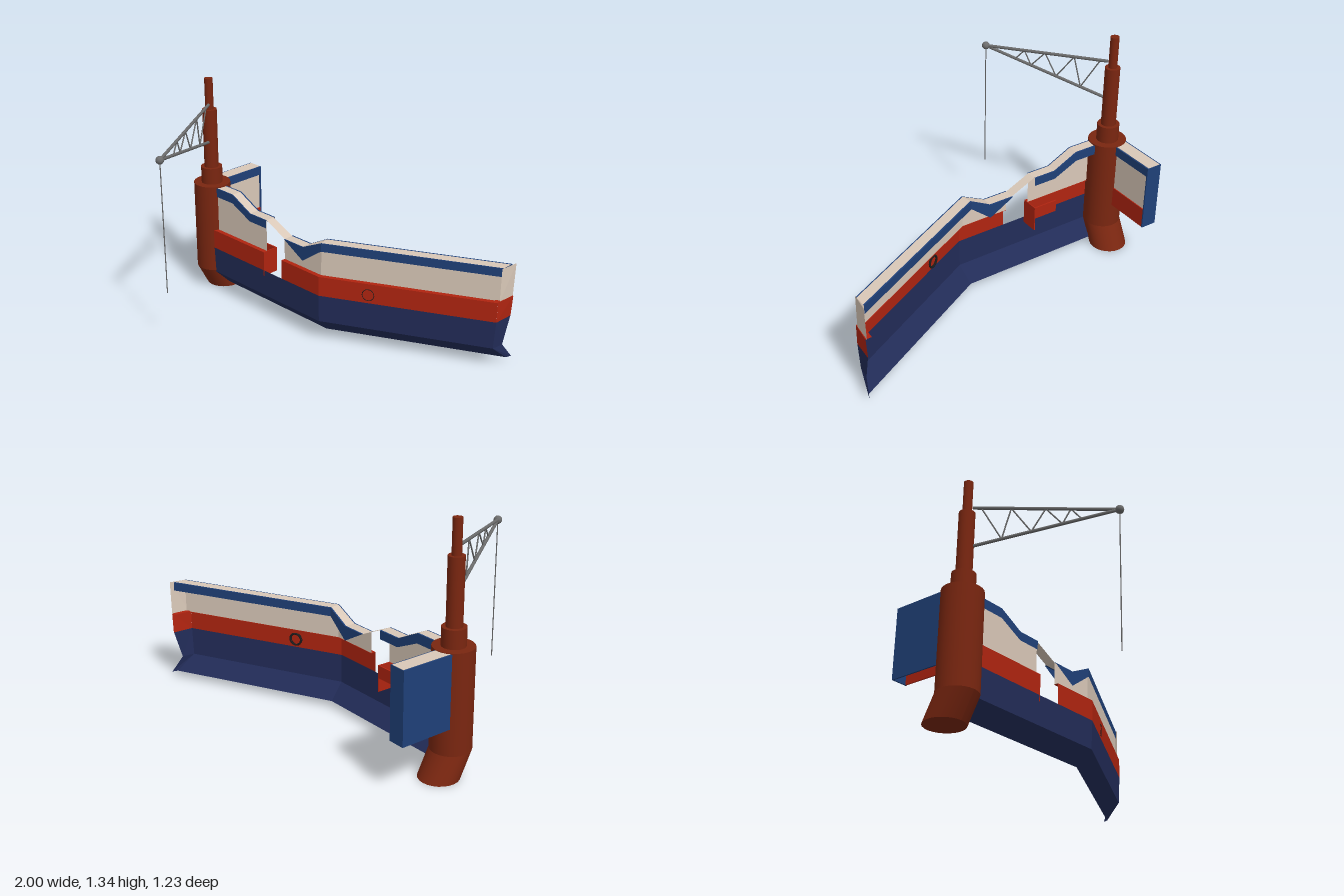
import * as THREE from 'three';

const mat = (name, color) => {
  const m = new THREE.MeshStandardMaterial({ color, side: THREE.DoubleSide });
  m.name = name;
  return m;
};

export function createModel() {
  const root = new THREE.Group();
  const rust = mat('rust brown', 0x7a2610);
  const red = mat('red', 0xb02410);
  const navy = mat('navy', 0x222c58);
  const blue = mat('trim blue', 0x1f4078);
  const cream = mat('cream', 0xd9c8b8);
  const grey = mat('steel grey', 0x6c6c6c);
  const dark = mat('dark', 0x1c1c1c);
  const V = (x, y, z) => new THREE.Vector3(x, y, z);

  const add = (name, geo, m, parent = root) => {
    const mesh = new THREE.Mesh(geo, m);
    mesh.name = name;
    parent.add(mesh);
    return mesh;
  };

  // Flat-faceted sheet through rows of points
  const sheet = (name, rows, m) => {
    const p = [];
    for (let r = 0; r < rows.length - 1; r++) {
      for (let i = 0; i < rows[r].length - 1; i++) {
        const a = rows[r][i], b = rows[r][i + 1], c = rows[r + 1][i + 1], d = rows[r + 1][i];
        for (const v of [a, b, c, a, c, d]) p.push(v.x, v.y, v.z);
      }
    }
    const g = new THREE.BufferGeometry();
    g.setAttribute('position', new THREE.Float32BufferAttribute(p, 3));
    g.computeVertexNormals();
    return add(name, g, m);
  };

  const box = (name, x0, x1, y0, y1, z0, z1, m) =>
    add(name, new THREE.BoxGeometry(x1 - x0, y1 - y0, z1 - z0), m)
      .position.set((x0 + x1) / 2, (y0 + y1) / 2, (z0 + z1) / 2);

  const rod = (name, a, b, r, parent) => {
    const mesh = add(name, new THREE.CylinderGeometry(r, r, a.distanceTo(b), 8), grey, parent);
    mesh.position.lerpVectors(a, b, 0.5);
    mesh.quaternion.setFromUnitVectors(V(0, 1, 0), b.clone().sub(a).normalize());
  };

  // Wall plan: straight run, then angled back after the bend; t is the inward offset
  const BEND = 0.09, SLOPE = 0.511;
  const at = (x, y, t) => {
    const bx = BEND - 0.239 * t;
    if (x === BEND) x = bx;
    return V(x, y, -0.02 - t - Math.max(0, x - bx) * SLOPE);
  };
  const row = (xs, ys, t) => xs.map((x, i) => at(x, Array.isArray(ys) ? ys[i] : ys, t));

  // Lower hull, turned around the aft corner
  sheet('lowerHull', [
    [...row([-0.85, BEND, 0.98], 0.295, 0), V(0.985, 0.295, -0.596)],
    [...row([-0.85, BEND, 0.97], 0.13, 0.005), V(0.978, 0.13, -0.55)],
    [...row([-0.87, BEND, 0.99], 0.04, 0.09), V(1, 0.04, -0.614)],
  ], navy);

  // Upper walls on both sides of the gangway gap
  const sections = [
    { name: 'forward', xs: [-0.85, -0.65, -0.5, -0.36], top: [0.685, 0.685, 0.61, 0.61], low: [0.63, 0.63, 0.56, 0.56] },
    { name: 'aft', xs: [-0.21, -0.06, BEND, 0.98], top: [0.54, 0.54, 0.61, 0.61], low: [0.54, 0.455, 0.56, 0.56] },
  ];
  for (const { name, xs, top, low } of sections) {
    sheet(name + 'RedBand', [row(xs, 0.295, 0), row(xs, 0.413, 0), row(xs, 0.413, 0.03)], red);
    sheet(name + 'Bulwark', [row(xs, 0.413, 0.027), row(xs, low, 0.027), row(xs, top, 0.027)], cream);
    sheet(name + 'OuterTrim', [row(xs, low, 0.021), row(xs, top, 0.021), row(xs, top, 0.027)], blue);
    sheet(name + 'InnerTrim', [row(xs, top, 0.085), row(xs, top, 0.094), row(xs, low, 0.094)], blue);
  }

  // Rail cap, continuous over the gap
  const capX = sections.flatMap(s => s.xs), capY = sections.flatMap(s => s.top);
  sheet('railCap', [row(capX, capY, 0.027), row(capX, capY, 0.085)], cream);

  // Aft return
  sheet('aftReturnRed', [
    [V(0.98, 0.295, -0.475), V(0.985, 0.295, -0.597)],
    [V(0.98, 0.417, -0.475), V(0.992, 0.417, -0.597)],
    [V(0.952, 0.417, -0.475), V(0.957, 0.417, -0.597)],
  ], red);
  sheet('aftReturnBulwark', [
    [V(0.98, 0.413, -0.49), V(0.986, 0.413, -0.6)],
    [V(0.98, 0.61, -0.49), V(0.992, 0.612, -0.6)],
  ], cream);

  // Gangway return panels
  box('gangwayEndPanel', -0.364, -0.358, 0.26, 0.413, -0.124, -0.02, red);
  box('gangwayInnerPanel', -0.51, -0.358, 0.34, 0.413, -0.124, -0.116, red);

  // Bow wall behind the column
  box('bowOuterPanel', -0.965, -0.957, 0.29, 0.688, -0.475, -0.1, blue);
  box('bowEndPanel', -0.965, -0.87, 0.29, 0.688, -0.475, -0.467, blue);
  box('bowInnerTrim', -0.878, -0.87, 0.635, 0.688, -0.475, -0.1, blue);
  box('bowInnerBulwark', -0.884, -0.878, 0.41, 0.64, -0.466, -0.1, cream);
  box('bowInnerRedBand', -0.88, -0.872, 0.29, 0.41, -0.466, -0.1, red);
  box('bowCap', -0.957, -0.878, 0.684, 0.69, -0.472, -0.1, cream);

  // Column with a raked foot and a stepped mast
  const CX = -0.89, CZ = -0.09;
  const stage = (name, r, y0, y1) => {
    const mesh = add(name, new THREE.CylinderGeometry(r, r, y1 - y0, 24), rust);
    mesh.position.set(CX, (y0 + y1) / 2, CZ);
    return mesh;
  };
  stage('column', 0.11, 0.14, 0.693);
  const foot = stage('columnFoot', 0.11, 0, 0.14).geometry;
  const pos = foot.attributes.position;
  for (let i = 0; i < pos.count; i++) pos.setZ(i, pos.getZ(i) - 0.075 * (0.5 - pos.getY(i) / 0.14));
  foot.computeVertexNormals();
  stage('mastBase', 0.064, 0.69, 0.793);
  stage('mastMiddle', 0.043, 0.79, 1.153);
  stage('mastTop', 0.025, 1.15, 1.34);

  // Lattice crane boom
  const crane = new THREE.Group();
  crane.name = 'crane';
  root.add(crane);
  const tip = V(-0.492, 1.115, 0.593);
  const upper = V(-0.87, 1.186, -0.067), lower = V(-0.87, 0.955, -0.057);
  rod('upperChord', upper, tip, 0.009, crane);
  rod('lowerChord', lower, tip, 0.009, crane);
  const onChord = (start, z) => start.clone().lerp(tip, (z - start.z) / (tip.z - start.z));
  const webs = [-0.03, 0.07, 0.107, 0.202, 0.263, 0.34, 0.376, 0.426]
    .map((z, i) => onChord(i % 2 ? lower : upper, z));
  for (let i = 0; i < webs.length - 1; i++) rod('latticeBar', webs[i], webs[i + 1], 0.004, crane);
  rod('cable', tip, V(tip.x, 0.325, tip.z), 0.003, crane);
  add('pulleyBall', new THREE.SphereGeometry(0.023, 16, 12), grey, crane).position.copy(tip);

  // Porthole ring through the red band
  for (const [name, t, r] of [['portholeOuterRing', 0, 0.002], ['portholeInnerRing', 0.008, 0.006]]) {
    const ring = add(name, new THREE.TorusGeometry(0.034, r, 6, 24), dark);
    ring.position.copy(at(0.345, 0.345, t));
    ring.rotation.y = Math.atan(SLOPE);
  }

  return root;
}
